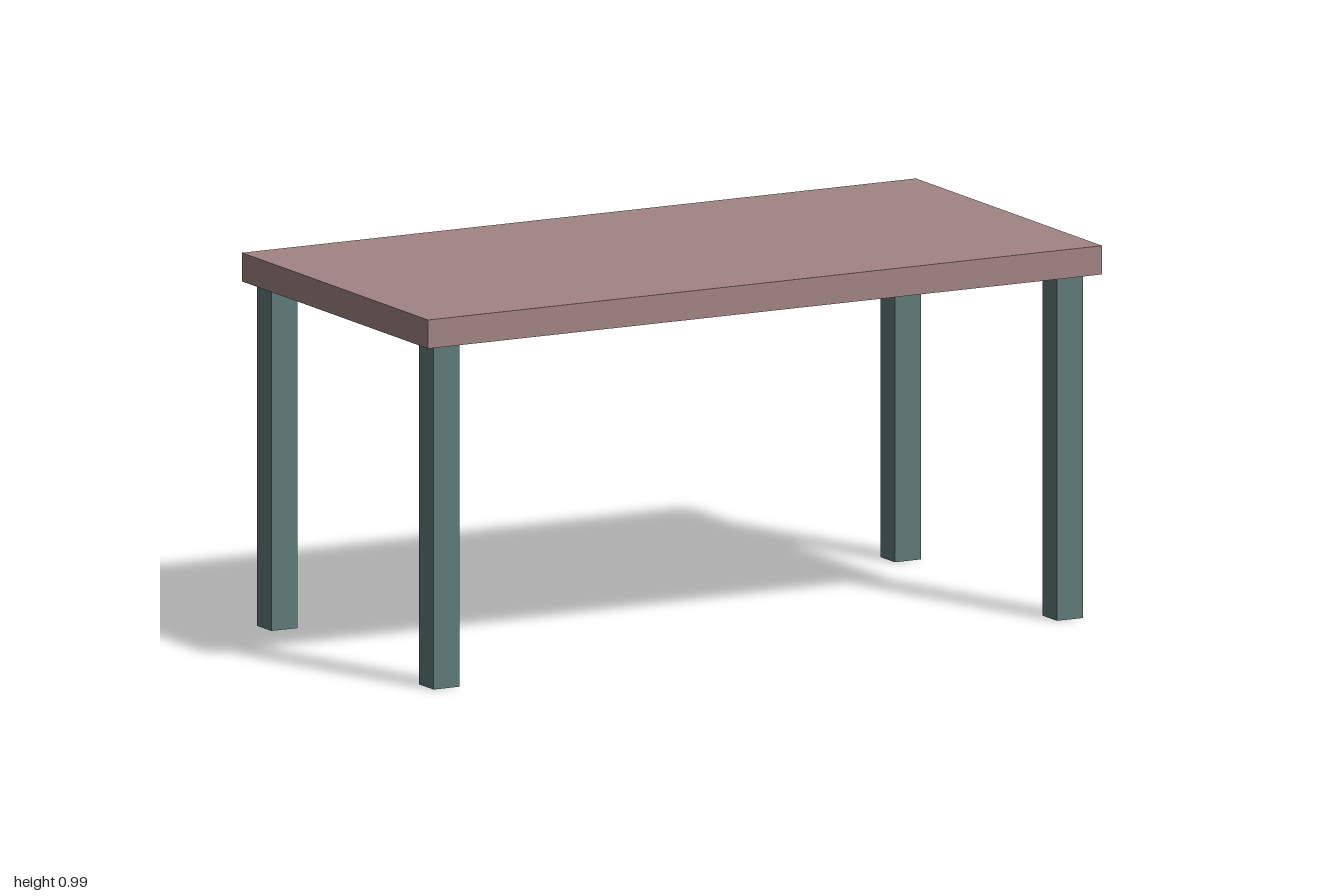
import * as THREE from 'three';

const LEG = 0.077;        // square leg width
const LEG_HEIGHT = 0.91;
const TOP_THICKNESS = 0.076;

export function createModel() {
  const table = new THREE.Group();
  table.name = 'table';

  const topMaterial = new THREE.MeshStandardMaterial({ color: 0xa08482 });
  const legMaterial = new THREE.MeshStandardMaterial({ color: 0x5f7b79 });

  // Tabletop slab
  const top = new THREE.Mesh(new THREE.BoxGeometry(2, TOP_THICKNESS, 1), topMaterial);
  top.name = 'tabletop';
  top.position.y = LEG_HEIGHT + TOP_THICKNESS / 2;
  table.add(top);

  // Four square legs, set slightly off-centre towards -x and +z
  const legGeometry = new THREE.BoxGeometry(LEG, LEG_HEIGHT, LEG);
  for (const [xName, x] of [['Left', 0.916], ['Right', -0.934]]) {
    for (const [zName, z] of [['front', 0.441], ['back', -0.43]]) {
      const leg = new THREE.Mesh(legGeometry, legMaterial);
      leg.name = `${zName}${xName}Leg`;
      leg.position.set(x, LEG_HEIGHT / 2, z);
      table.add(leg);
    }
  }

  return table;
}
